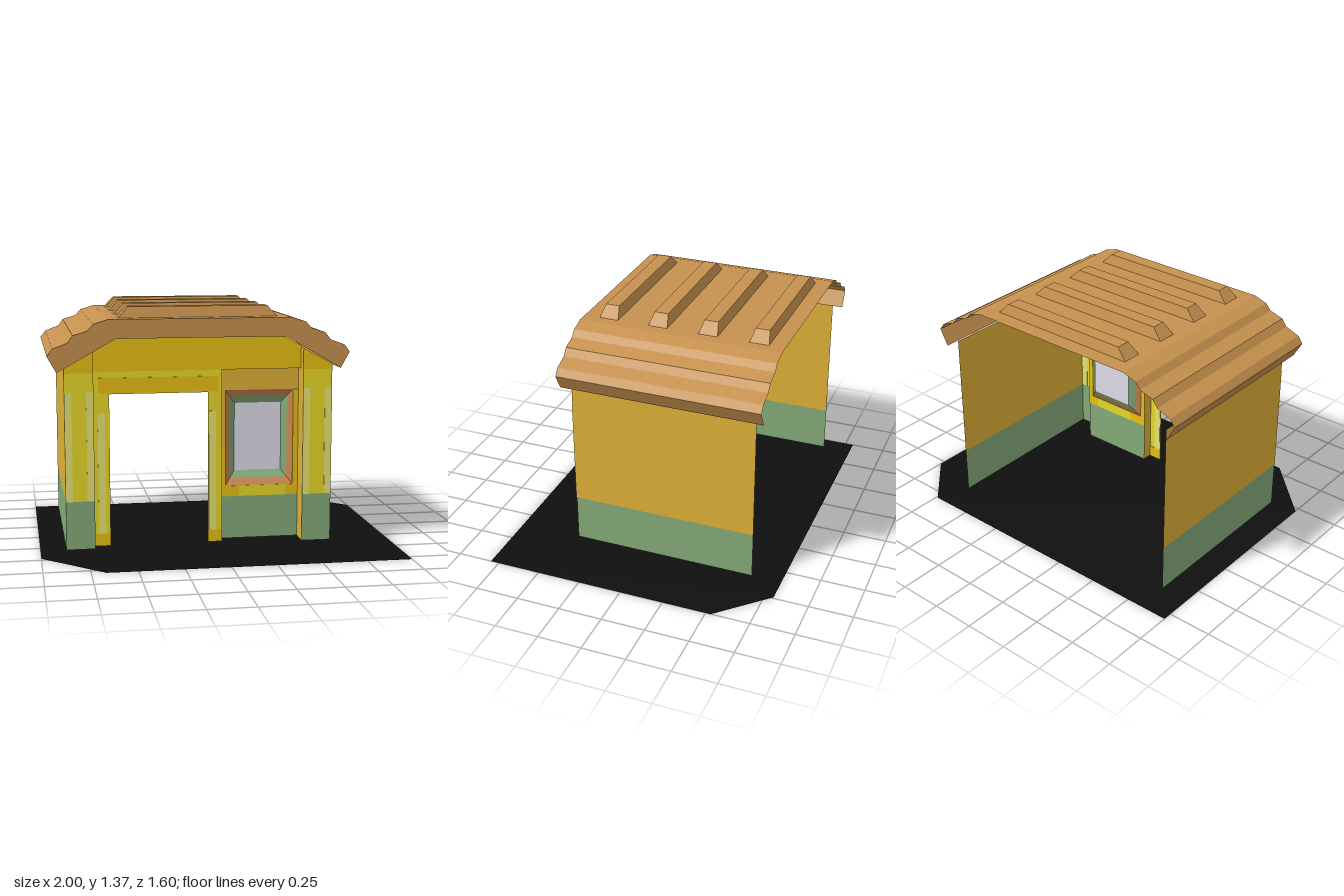
import * as THREE from 'three';

const paint = (name, color) => new THREE.MeshStandardMaterial({ name, color, side: THREE.DoubleSide });

export function createModel() {
  const group = new THREE.Group();
  const black = paint('asphalt black', 0x0f0f0f);
  const green = paint('plinth green', 0x83aa78);
  const ochre = paint('wall ochre', 0xdeb036);
  const gold = paint('gold', 0xeec414);
  const yellow = paint('yellow', 0xeedf28);
  const pale = paint('pale yellow', 0xeeea78);
  const wood = paint('roof brown', 0xc6914e);
  const trim = paint('window brown', 0xc98650);
  const glass = paint('window glass', 0xe6e4f0);

  function add(name, geometry, material) {
    const mesh = new THREE.Mesh(geometry, material);
    mesh.name = name;
    group.add(mesh);
    return mesh;
  }
  const toShape = (pts) => new THREE.Shape(pts.map(([x, y]) => new THREE.Vector2(x, y)));
  const rect = (x0, x1, y0, y1) => [[x0, y0], [x1, y0], [x1, y1], [x0, y1]];

  // Flat sheet facing the front, with an optional opening
  function sheet(name, material, pts, z, hole) {
    const shape = toShape(pts);
    if (hole) shape.holes.push(toShape(hole));
    return add(name, new THREE.ShapeGeometry(shape).translate(0, 0, z), material);
  }
  // Thin plate straddling a sheet, so that it shows on both sides
  function plate(name, material, x0, x1, y0, y1, z) {
    const g = new THREE.BoxGeometry(x1 - x0, y1 - y0, 0.006);
    add(name, g.translate((x0 + x1) / 2, (y0 + y1) / 2, z), material);
  }
  // Sheet facing sideways
  function sideSheet(name, material, x, y0, y1, z0, z1) {
    const g = new THREE.PlaneGeometry(z1 - z0, y1 - y0).rotateY(x > -0.1 ? Math.PI / 2 : -Math.PI / 2);
    add(name, g.translate(x, (y0 + y1) / 2, (z0 + z1) / 2), material);
  }
  // Loose quads from four corners each, flat shaded
  function quads(list) {
    const pos = [];
    for (const [a, b, c, d] of list) pos.push(...a, ...b, ...c, ...a, ...c, ...d);
    const g = new THREE.BufferGeometry();
    g.setAttribute('position', new THREE.Float32BufferAttribute(pos, 3));
    g.computeVertexNormals();
    return g;
  }

  // Ground with two cut corners
  const ground = toShape([[-1, -0.8], [-0.67, -0.8], [1, -0.8], [1, 0.53], [0.74, 0.8], [-1, 0.8]].map(
    ([x, y], i) => (i === 0 ? [-1, -0.47] : [x, y])));
  add('ground', new THREE.ShapeGeometry(ground).rotateX(-Math.PI / 2), black);

  // Side walls, open at the back
  for (const [side, x] of [['left', 0.635], ['right', -0.86]]) {
    sideSheet(side + 'WallBase', green, x, 0.03, 0.3, -0.64, 0.42);
    sideSheet(side + 'Wall', ochre, x, 0.3, 1.04, -0.64, 0.42);
  }

  // Corner pilasters with pale edge stripes
  const zPilaster = 0.42, zPortal = 0.36, zPanel = 0.3;
  for (const [side, x0, x1, y0, y1] of [['right', -0.86, -0.7, 1.04, 1.13], ['left', 0.47, 0.635, 1.13, 1.04]]) {
    sheet(side + 'PilasterBase', green, rect(x0, x1, 0.03, 0.3), zPilaster);
    sheet(side + 'Pilaster', yellow, rect(x0, x1, 0.3, 1.01), zPilaster);
    sheet(side + 'PilasterTop', gold, [[x0, 1.01], [x1, 1.01], [x1, y1], [x0, y0]], zPilaster);
    plate(side + 'PilasterStripe', pale, x0, x0 + 0.04, 0.3, 0.905, zPilaster);
    plate(side + 'PilasterStripe', pale, x1 - 0.04, x1, 0.3, 0.905, zPilaster);
  }
  sideSheet('rightPilasterReturn', ochre, -0.7, 0.03, 1.13, zPortal, zPilaster);
  sideSheet('leftPilasterReturn', ochre, 0.47, 0.03, 1.13, zPanel, zPilaster);

  // Door portal and gable
  sheet('doorPortal', yellow, [[-0.7, 0.03], [-0.61, 0.03], [-0.61, 0.885], [-0.06, 0.885],
    [-0.06, 0.03], [0.02, 0.03], [0.02, 1.01], [-0.7, 1.01]], zPortal);
  sheet('gable', gold, [[-0.7, 1.01], [0.47, 1.01], [0.47, 1.138], [0.36, 1.2], [-0.58, 1.2], [-0.7, 1.13]], zPortal);
  plate('lintelPanel', gold, -0.67, 0, 0.89, 0.975, zPortal);
  for (const [x0, x1] of [[-0.675, -0.635], [-0.055, -0.015]]) {
    plate('jambStripe', pale, x0, x1, 0.1, 0.78, zPortal);
  }
  plate('jambFoot', gold, -0.7, -0.61, 0.03, 0.1, zPortal);
  plate('jambFoot', gold, -0.06, 0.02, 0.03, 0.1, zPortal);
  sideSheet('portalReturn', ochre, 0.02, 0.03, 1.01, zPanel, zPortal);
  add('panelSoffit', new THREE.PlaneGeometry(0.45, 0.06).rotateX(Math.PI / 2).translate(0.245, 1.01, 0.33), gold);

  // Window panel
  sheet('panelBase', green, rect(0.02, 0.47, 0.03, 0.275), zPanel);
  sheet('windowPanel', ochre, rect(0.02, 0.47, 0.275, 1.01), zPanel, rect(0.05, 0.44, 0.335, 0.885));
  plate('panelEdge', gold, 0.44, 0.47, 0.275, 0.885, zPanel);
  plate('panelEdge', gold, 0.02, 0.05, 0.275, 0.57, zPanel);
  plate('panelSill', gold, 0.05, 0.13, 0.275, 0.335, zPanel);
  plate('panelSill', yellow, 0.13, 0.4, 0.275, 0.335, zPanel);
  plate('panelSill', gold, 0.4, 0.44, 0.275, 0.335, zPanel);

  // Window recess: two sloping rings leading in to the pane
  const loops = [
    rect(0.05, 0.44, 0.335, 0.885).map((p) => [...p, 0.3]),
    rect(0.08, 0.41, 0.375, 0.845).map((p) => [...p, 0.275]),
    rect(0.11, 0.38, 0.415, 0.805).map((p) => [...p, 0.25]),
  ];
  [trim, green].forEach((material, i) => {
    const ring = [0, 1, 2, 3].map((k) => {
      const n = (k + 1) % 4;
      return [loops[i][k], loops[i][n], loops[i + 1][n], loops[i + 1][k]];
    });
    add(i ? 'windowInnerFrame' : 'windowOuterFrame', quads(ring), material);
  });
  sheet('windowPane', glass, rect(0.11, 0.38, 0.415, 0.805), 0.25);

  // Stepped roof shell, mirrored about its ridge line, with a front face
  const mid = -0.115, zFront = 0.47, zBack = -0.69;
  const half = [[0.785, 1.02], [0.835, 1.11], [0.805, 1.15], [0.725, 1.18], [0.695, 1.22],
    [0.615, 1.245], [0.585, 1.28], [0.505, 1.305]];
  const profile = [...half.map(([x, y]) => [mid - x, y]), ...half.map(([x, y]) => [mid + x, y]).reverse()];
  const strips = profile.slice(1).map(([x, y], i) => {
    const [px, py] = profile[i];
    return [[px, py, zFront], [x, y, zFront], [x, y, zBack], [px, py, zBack]];
  });
  add('roof', quads(strips), wood);
  sheet('roofFront', wood, [...profile, [0.36, 1.2], [-0.58, 1.2]], zFront);

  // Tapered roof battens
  for (let i = 0; i < 4; i++) {
    const g = new THREE.BoxGeometry(0.89, 0.06, 0.11);
    const p = g.attributes.position;
    for (let k = 0; k < p.count; k++) {
      if (p.getY(k) > 0) p.setXYZ(k, p.getX(k) * 0.87, p.getY(k), p.getZ(k) * 0.72);
    }
    g.computeVertexNormals();
    add('roofBatten', g.translate(mid, 1.335, 0.325 - i * 0.29), wood);
  }
  return group;
}
